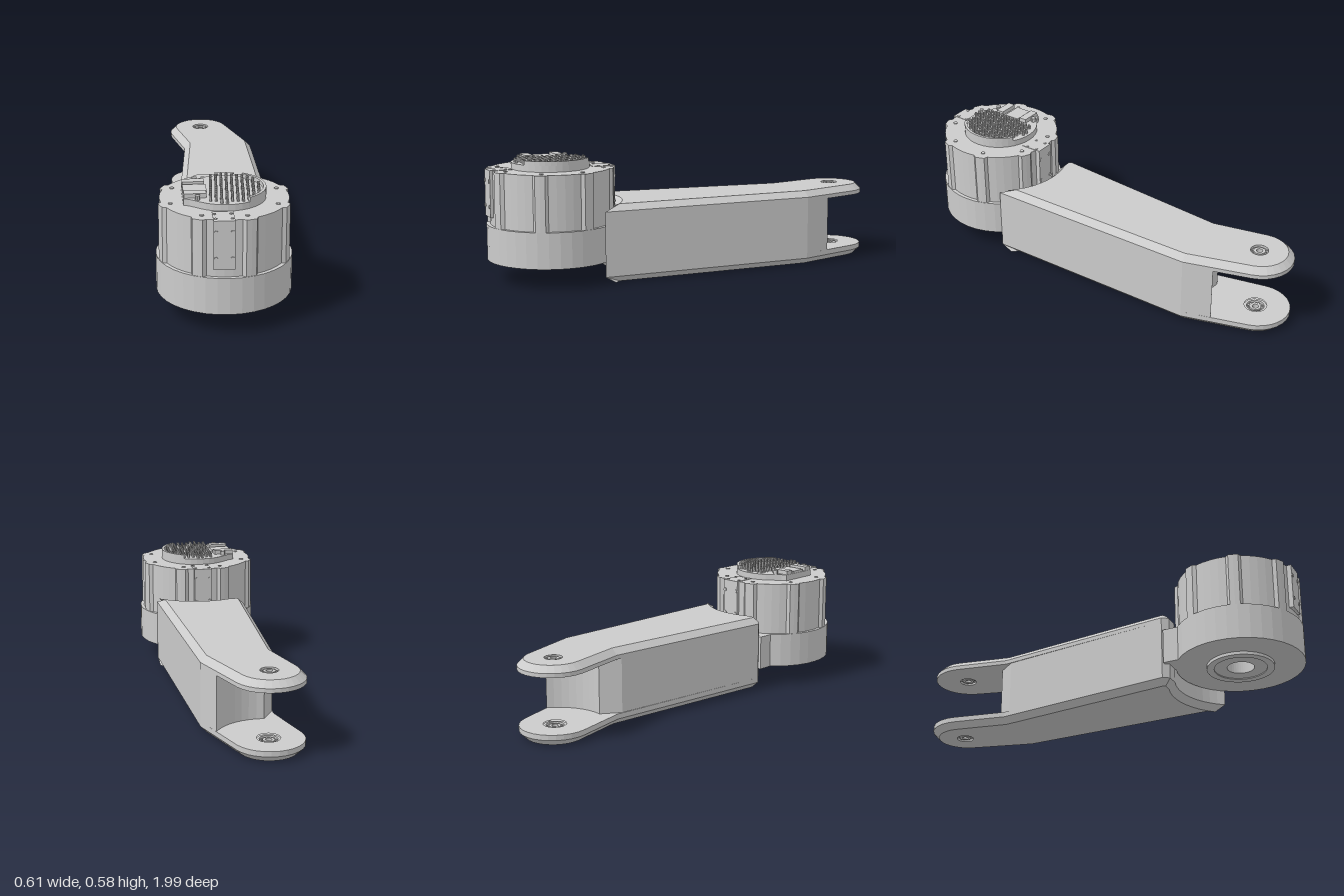
import * as THREE from 'three';
import { mergeGeometries } from 'three/addons/utils/BufferGeometryUtils.js';

const V = (x, y) => new THREE.Vector2(x, y);
const grey = new THREE.MeshStandardMaterial({ color: 0xcccccc, flatShading: true, side: THREE.DoubleSide });
const MOTOR_Z = 0.69, TIP_Z = -0.835;

// Plan outlines are drawn as (x, -z), counter-clockwise
function arc(cx, cy, r, from, to, n) {
  return Array.from({ length: n + 1 }, (_, i) => {
    const a = THREE.MathUtils.degToRad(from + (to - from) * i / n);
    return V(cx + r * Math.cos(a), cy + r * Math.sin(a));
  });
}

function inset(pts, d) {
  const n = pts.length;
  const normal = (a, b) => { const t = b.clone().sub(a).normalize(); return V(-t.y, t.x); };
  return pts.map((p, i) => {
    const n1 = normal(pts[(i + n - 1) % n], p), n2 = normal(p, pts[(i + 1) % n]);
    return p.clone().addScaledVector(n1.clone().add(n2), d / (1 + n1.dot(n2)));
  });
}

// Side walls through stacked loops, closed by caps with an optional round hole
function loft(levels, hole) {
  const pos = [];
  for (let k = 0; k + 1 < levels.length; k++) {
    const [y0, a] = levels[k], [y1, b] = levels[k + 1];
    a.forEach((p, i) => {
      const j = (i + 1) % a.length;
      const q = [[a[i], y0], [a[j], y0], [b[j], y1], [a[i], y0], [b[j], y1], [b[i], y1]];
      q.forEach(([s, y]) => pos.push(s.x, y, -s.y));
    });
  }
  const walls = new THREE.BufferGeometry();
  walls.setAttribute('position', new THREE.Float32BufferAttribute(pos, 3));
  const cap = ([y, pts], down) => {
    const s = new THREE.Shape(pts);
    if (hole) s.holes.push(new THREE.Path().absarc(hole.x, hole.y, hole.r, 0, Math.PI * 2, true));
    const g = new THREE.ShapeGeometry(s, 12).rotateX(-Math.PI / 2).translate(0, y, 0);
    if (down) g.setIndex(Array.from(g.index.array).reverse());
    const out = g.toNonIndexed();
    out.deleteAttribute('uv');
    out.deleteAttribute('normal');
    return out;
  };
  const g = mergeGeometries([walls, cap(levels[0], true), cap(levels[levels.length - 1], false)]);
  g.computeVertexNormals();
  return g;
}

export function createModel() {
  const model = new THREE.Group();
  const add = (name, geo, x = 0, y = 0, z = 0, parent = model) => {
    const m = new THREE.Mesh(geo, grey);
    m.name = name;
    m.position.set(x, y, z);
    parent.add(m);
    return m;
  };
  const box = (name, x0, x1, y0, y1, z0, z1, parent) => add(name,
    new THREE.BoxGeometry(x1 - x0, y1 - y0, z1 - z0), (x0 + x1) / 2, (y0 + y1) / 2, (z0 + z1) / 2, parent);
  const lathe = (pts, n) => new THREE.LatheGeometry(pts.map(p => V(...p)), n);

  // Arm: chamfered top and bottom plates forming a fork, with a core between
  const front = [V(-0.188, -0.37), V(-0.165, -0.4), ...arc(0, -MOTOR_Z, 0.31, 110, 36, 10)];
  const plate = [V(0.25, 0.57), ...arc(0, -TIP_Z, 0.165, 17, 191, 14), V(-0.105, 0.54), ...front];
  const core = [V(0.25, 0.57), V(0.208, 0.71), ...arc(0, 0.84, 0.245, -32, -100, 8), V(-0.104, 0.51), ...front];
  const small = inset(plate, 0.03);
  const hole = { x: 0, y: -TIP_Z, r: 0.054 };
  add('armBottomPlate', loft([[0, small], [0.03, plate], [0.055, plate]], hole));
  add('armTopPlate', loft([[0.32, plate], [0.34, plate], [0.37, small]], hole));
  add('armCore', loft([[0.055, core], [0.32, core]]));

  // Bearings in the fork
  for (const y of [0, 0.32]) {
    const bearing = new THREE.Group();
    bearing.name = 'bearing';
    bearing.position.set(0, y, TIP_Z);
    model.add(bearing);
    add('bearingRings', lathe([[0.015, 0.003], [0.028, 0.003], [0.028, 0.012], [0.042, 0.012], [0.042, 0], [0.055, 0],
      [0.055, 0.05], [0.042, 0.05], [0.042, 0.038], [0.028, 0.038], [0.028, 0.047], [0.015, 0.047], [0.015, 0.003]], 20),
      0, 0, 0, bearing);
    for (let i = 0; i < 10; i++) {
      const a = i * Math.PI / 5;
      add('bearingBall', new THREE.CylinderGeometry(0.005, 0.005, 0.036, 6),
        0.035 * Math.cos(a), 0.025, 0.035 * Math.sin(a), bearing);
    }
  }

  // Motor, built around its own axis
  const motor = new THREE.Group();
  motor.name = 'motor';
  motor.position.z = MOTOR_Z;
  model.add(motor);
  add('motorBase', lathe([[0, 0.26], [0.064, 0.26], [0.064, 0.09], [0.125, 0.09], [0.125, 0.085], [0.16, 0.085],
    [0.16, 0.1], [0.305, 0.1], [0.305, 0.27], [0, 0.27]], 36), 0, 0, 0, motor);
  box('armJoint', -0.195, -0.1, 0.1, 0.27, -0.31, -0.21, motor);

  // Housing wall with a raised rib beside each screw
  const wall = [];
  for (let k = 0; k < 8; k++) {
    const c = 18 + 45 * k;
    wall.push(...arc(0, 0, 0.302, c - 4.5, c + 4.5, 2), ...arc(0, 0, 0.287, c + 7, c + 38, 4));
  }
  add('motorHousing', loft([[0.27, wall], [0.53, wall]]), 0, 0, 0, motor);
  for (let k = 0; k < 8; k++) {
    const a = THREE.MathUtils.degToRad(18 + 45 * k);
    add('housingScrew', new THREE.CylinderGeometry(0.01, 0.01, 0.006, 10),
      0.253 * Math.cos(a), 0.531, -0.253 * Math.sin(a), motor);
  }

  // Screwed cover panels on the front and back of the housing
  for (const turn of [0, Math.PI]) {
    const panel = new THREE.Group();
    panel.name = 'coverPanel';
    panel.rotation.y = turn;
    motor.add(panel);
    box('panelPlate', -0.07, 0.022, 0.31, 0.532, 0.19, 0.3, panel);
    for (const x of [-0.06, 0.011]) {
      for (const y of [0.36, 0.48]) {
        add('panelScrew', new THREE.CylinderGeometry(0.009, 0.009, 0.006, 10).rotateX(Math.PI / 2), x, y, 0.301, panel);
      }
      for (const z of [0.22, 0.275]) {
        add('panelTopScrew', new THREE.CylinderGeometry(0.007, 0.007, 0.005, 8), x, 0.533, z, panel);
      }
    }
  }

  // Electronics cap: flat on the left, with a rim on the other side
  const cap = [...arc(0, 0, 0.185, -130, 130, 26), V(-0.16, 0.11), V(-0.185, 0.1), V(-0.185, -0.1), V(-0.16, -0.11)];
  add('capBase', loft([[0.53, cap], [0.56, cap]]), 0, 0, 0, motor);
  const rim = [...arc(0, 0, 0.185, -58, 58, 14), ...arc(0, 0, 0.172, 58, -58, 14)];
  add('capRim', loft([[0.56, rim], [0.58, rim]]), 0, 0, 0, motor);
  box('connectorBlock', -0.183, -0.08, 0.56, 0.572, -0.045, 0.035, motor);
  for (const s of [-1, 1]) {
    box('connectorWall', -0.183, -0.085, 0.56, 0.58, s * 0.075 - 0.02, s * 0.075 + 0.02, motor);
    add('capScrew', new THREE.CylinderGeometry(0.012, 0.012, 0.02, 10), -0.125, 0.57, s * 0.115, motor);
  }

  // Heat sink pins, slightly turned on the cap
  const sink = new THREE.Group();
  sink.name = 'heatSink';
  sink.rotation.y = -0.07;
  motor.add(sink);
  for (let i = 0; i < 10; i++) {
    for (let j = -7; j <= 7; j++) {
      const x = -0.06 + i * 0.0235, z = j * 0.0235;
      if (Math.hypot(x, z) < 0.166) {
        add('heatSinkPin', new THREE.CylinderGeometry(0.007, 0.007, 0.02, 6), x, 0.57, z, sink);
      }
    }
  }
  return model;
}
